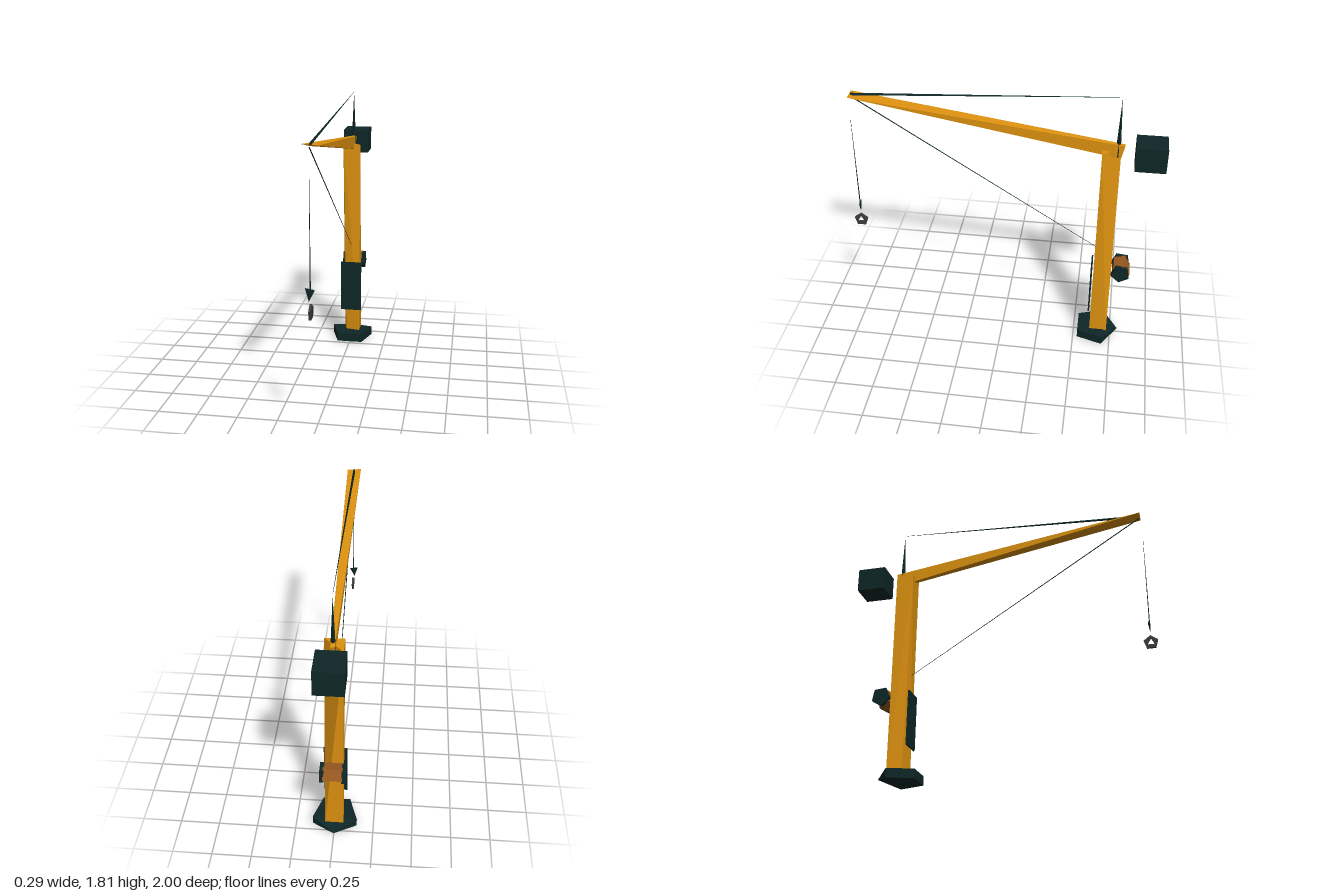
import * as THREE from 'three';
import { ConvexGeometry } from 'three/addons/geometries/ConvexGeometry.js';

const mat = (name, color) => {
  const m = new THREE.MeshStandardMaterial({ color, flatShading: true });
  m.name = name;
  return m;
};

export function createModel() {
  const orange = mat('craneOrange', 0xdd9210);
  const dark = mat('darkSteel', 0x0f2727);
  const brown = mat('drumBrown', 0x9a5a22);
  const grey = mat('hookGrey', 0x3c3c3c);
  const crane = new THREE.Group();
  crane.name = 'towerCrane';

  const add = (name, geometry, material, x = 0, y = 0, z = 0, parent = crane) => {
    const mesh = new THREE.Mesh(geometry, material);
    mesh.name = name;
    mesh.position.set(x, y, z);
    parent.add(mesh);
    return mesh;
  };
  const v = (p) => new THREE.Vector3(...p);
  const hull = (pts) => new ConvexGeometry(pts.map(v));

  // Tapered three-sided cable between two points
  const cable = (name, a, b, ra, rb) => {
    const from = v(a), to = v(b), dir = to.clone().sub(from);
    const mesh = add(name, new THREE.CylinderGeometry(rb, ra, dir.length(), 3), dark);
    mesh.position.copy(from).lerp(to, 0.5);
    mesh.quaternion.setFromUnitVectors(new THREE.Vector3(0, 1, 0), dir.normalize());
  };

  // Five-sided foot whose rear corner pinches to a point
  const foot = [];
  for (let i = 0; i < 5; i++) {
    const t = (i / 5) * Math.PI * 2;
    const x = 0.15 * Math.sin(t), z = -0.65 - 0.15 * Math.cos(t);
    if (i === 0) foot.push([x, 0.03, z]);
    else foot.push([x, 0, z], [x, 0.06, z]);
  }
  add('foot', hull(foot), dark);

  // Mast with one cut corner at the top and a smaller cut at the bottom
  add('mast', hull([
    [-0.06, 1.45, -0.61], [0.06, 1.45, -0.61], [-0.06, 1.45, -0.725],
    [0.06, 0.04, -0.61], [0.06, 0.04, -0.725], [-0.06, 0.04, -0.725], [-0.038, 0.04, -0.632],
  ]), orange);

  // Boom: a flat wide tip turning into a tall narrow root
  add('boom', hull([
    [-0.045, 1.718, 0.95], [0.045, 1.712, 0.95], [0, 1.705, 0.93],
    [-0.008, 1.5, -0.69], [0.008, 1.5, -0.69],
    [-0.012, 1.49, -0.745], [0.012, 1.49, -0.745],
    [-0.012, 1.4, -0.725], [0.012, 1.4, -0.725], [0, 1.42, -0.61],
  ]), orange);

  // Peak spike and stays
  add('peak', new THREE.ConeGeometry(0.017, 0.39, 4), dark, 0, 1.605, -0.705);
  cable('upperStay', [0, 1.715, 0.94], [0, 1.805, -0.69], 0.009, 0.001);
  cable('lowerStay', [0, 1.7, 0.94], [0, 0.72, -0.61], 0.004, 0.0015);

  // Counterweight and front panel
  add('counterweight', new THREE.BoxGeometry(0.175, 0.16, 0.19), dark, 0, 1.44, -0.905);
  add('frontPanel', new THREE.BoxGeometry(0.148, 0.365, 0.01), dark, 0, 0.408, -0.596);

  // Winch: brown drum between two dark flanges
  const winch = new THREE.Group();
  winch.name = 'winch';
  winch.position.set(0, 0.563, -0.785);
  crane.add(winch);
  const drum = new THREE.CylinderGeometry(0.062, 0.062, 0.12, 5).rotateZ(Math.PI / 2).rotateX(0.5);
  add('drum', drum, brown, 0, 0, 0, winch);
  for (const side of [-1, 1]) {
    const flange = new THREE.CylinderGeometry(0.064, 0.064, 0.025, 5).rotateZ(Math.PI / 2).rotateX(0.2);
    add(side > 0 ? 'leftFlange' : 'rightFlange', flange, dark, side * 0.067, 0, 0, winch);
  }

  // Hoist line and block
  cable('hoistLine', [0, 0.9, 0.955], [0, 1.54, 0.957], 0.004, 0.001);
  add('hookBlock', hull([
    [-0.03, 0.928, 0.955], [0.026, 0.918, 0.955], [-0.008, 0.85, 0.958],
    [0, 0.92, 0.945], [0, 0.91, 0.962],
  ]), dark);

  // Hook: five-sided ring with a triangular hole
  const ngon = (Type, n, r, a) => {
    const shape = new Type();
    for (let i = 0; i < n; i++) {
      const t = a + (i / n) * Math.PI * 2;
      shape[i ? 'lineTo' : 'moveTo'](r * Math.cos(t), r * Math.sin(t));
    }
    shape.closePath();
    return shape;
  };
  const ring = ngon(THREE.Shape, 5, 0.047, 0.3);
  ring.holes.push(ngon(THREE.Path, 3, 0.029, Math.PI / 2));
  const hook = new THREE.ExtrudeGeometry(ring, { depth: 0.014, bevelEnabled: false });
  hook.translate(0, 0, -0.007).rotateY(Math.PI / 2);
  add('hook', hook, grey, 0.003, 0.79, 0.956);

  return crane;
}
